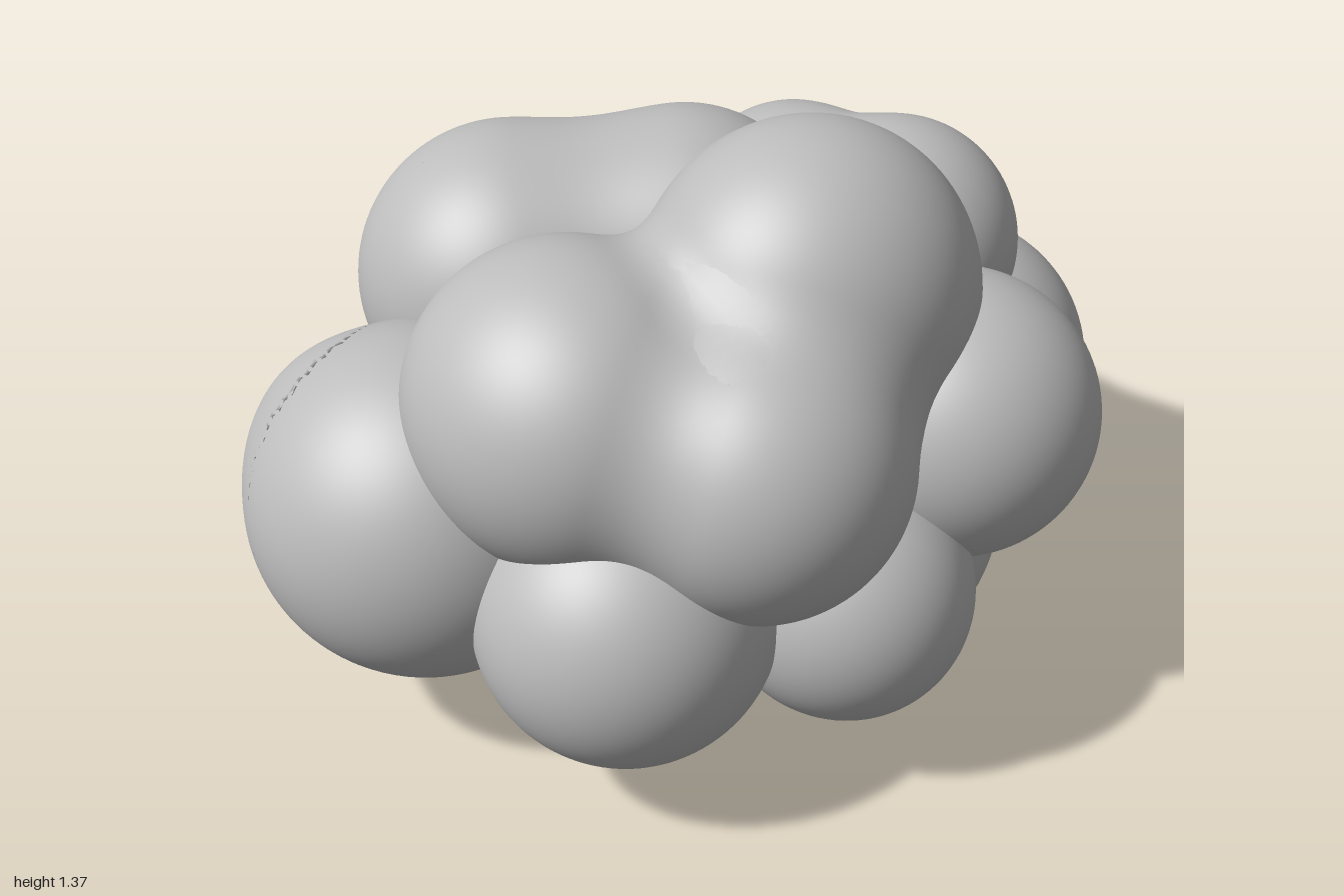
import * as THREE from 'three';
import { mergeVertices } from 'three/addons/utils/BufferGeometryUtils.js';

// Puffs in clusters: those of one cluster melt into each other over the blend width.
// Each puff: name, centre, radii
const clusters = [
  { blend: 0.16, puffs: [
    ['upperRightPuff', [-0.34, 0.86, 0.24], [0.34, 0.34, 0.34]],
    ['upperMiddlePuff', [-0.15, 0.9, -0.09], [0.32, 0.32, 0.32]],
  ] },
  { blend: 0.1, puffs: [
    ['upperFrontPuff', [0.18, 0.86, 0.42], [0.36, 0.34, 0.34]],
    ['upperLeftPuff', [0.475, 0.785, 0.18], [0.32, 0.32, 0.32]],
    ['peakPuff', [0.295, 1.0, -0.08], [0.345, 0.37, 0.365]],
  ] },
  { blend: 0.1, puffs: [
    ['frontPuff', [-0.1, 0.55, 0.62], [0.39, 0.38, 0.38]],
    ['frontBump', [-0.32, 0.49, 0.71], [0.19, 0.28, 0.18]],
  ] },
  { blend: 0.18, puffs: [
    ['upperBackRightPuff', [-0.3, 0.77, -0.51], [0.27, 0.29, 0.28]],
    ['upperBackLeftPuff', [0.06, 0.88, -0.52], [0.28, 0.28, 0.275]],
  ] },
  { blend: 0, puffs: [
    ['corePuff', [0, 0.62, 0], [0.38, 0.38, 0.45]],
    ['lowerRightPuff', [-0.47, 0.52, -0.04], [0.34, 0.34, 0.35]],
    ['lowerFrontPuff', [0.36, 0.45, 0.42], [0.32, 0.32, 0.32]],
    ['lowerLeftPuff', [0.52, 0.415, -0.02], [0.285, 0.285, 0.275]],
    ['backLeftPuff', [0.48, 0.71, -0.34], [0.31, 0.31, 0.31]],
    ['backPuff', [0.09, 0.525, -0.65], [0.345, 0.345, 0.35]],
    ['backRightPuff', [-0.355, 0.385, -0.43], [0.26, 0.265, 0.26]],
    ['bottomPuff', [0.23, 0.38, -0.22], [0.385, 0.38, 0.38]],
    ['bottomRightPuff', [-0.22, 0.39, 0.2], [0.305, 0.305, 0.305]],
  ] },
];

// Approximate signed distance from a point to an ellipsoid
function distanceTo(p, [, c, r]) {
  const q = new THREE.Vector3((p.x - c[0]) / r[0], (p.y - c[1]) / r[1], (p.z - c[2]) / r[2]);
  return (q.length() - 1) * Math.min(...r);
}

function smoothMin(a, b, k) {
  const h = Math.max(k - Math.abs(a - b), 0);
  return Math.min(a, b) - (h * h) / (4 * k);
}

// Ellipsoid whose surface swells into its neighbours
function puffGeometry(ball, puff, neighbours, blend) {
  const geometry = ball.clone();
  const positions = geometry.attributes.position;
  const centre = new THREE.Vector3(...puff[1]);
  const radii = new THREE.Vector3(...puff[2]);
  const p = new THREE.Vector3();
  for (let i = 0; i < positions.count; i++) {
    p.fromBufferAttribute(positions, i).multiply(radii);
    const outward = p.clone().normalize();
    p.add(centre);
    const buried = neighbours.some((n) => distanceTo(p, n) < -blend);
    if (!buried && neighbours.length) {
      for (let step = 0; step < 5; step++) {
        const d = neighbours.reduce(
          (near, n) => smoothMin(near, distanceTo(p, n), blend), distanceTo(p, puff));
        p.addScaledVector(outward, -d);
      }
    }
    positions.setXYZ(i, p.x, p.y, p.z);
  }
  geometry.computeVertexNormals();
  return geometry;
}

export function createModel() {
  const group = new THREE.Group();
  group.name = 'cloud';
  const grey = new THREE.MeshStandardMaterial({ color: 0xbcbcbc });
  grey.name = 'cloudGrey';

  // Evenly divided ball with shared vertices
  const faceted = new THREE.IcosahedronGeometry(1, 17);
  faceted.deleteAttribute('uv');
  faceted.deleteAttribute('normal');
  const ball = mergeVertices(faceted);

  for (const { blend, puffs } of clusters) {
    for (const puff of puffs) {
      const neighbours = blend ? puffs.filter((other) => other !== puff) : [];
      const mesh = new THREE.Mesh(puffGeometry(ball, puff, neighbours, blend), grey);
      mesh.name = puff[0];
      group.add(mesh);
    }
  }
  return group;
}
